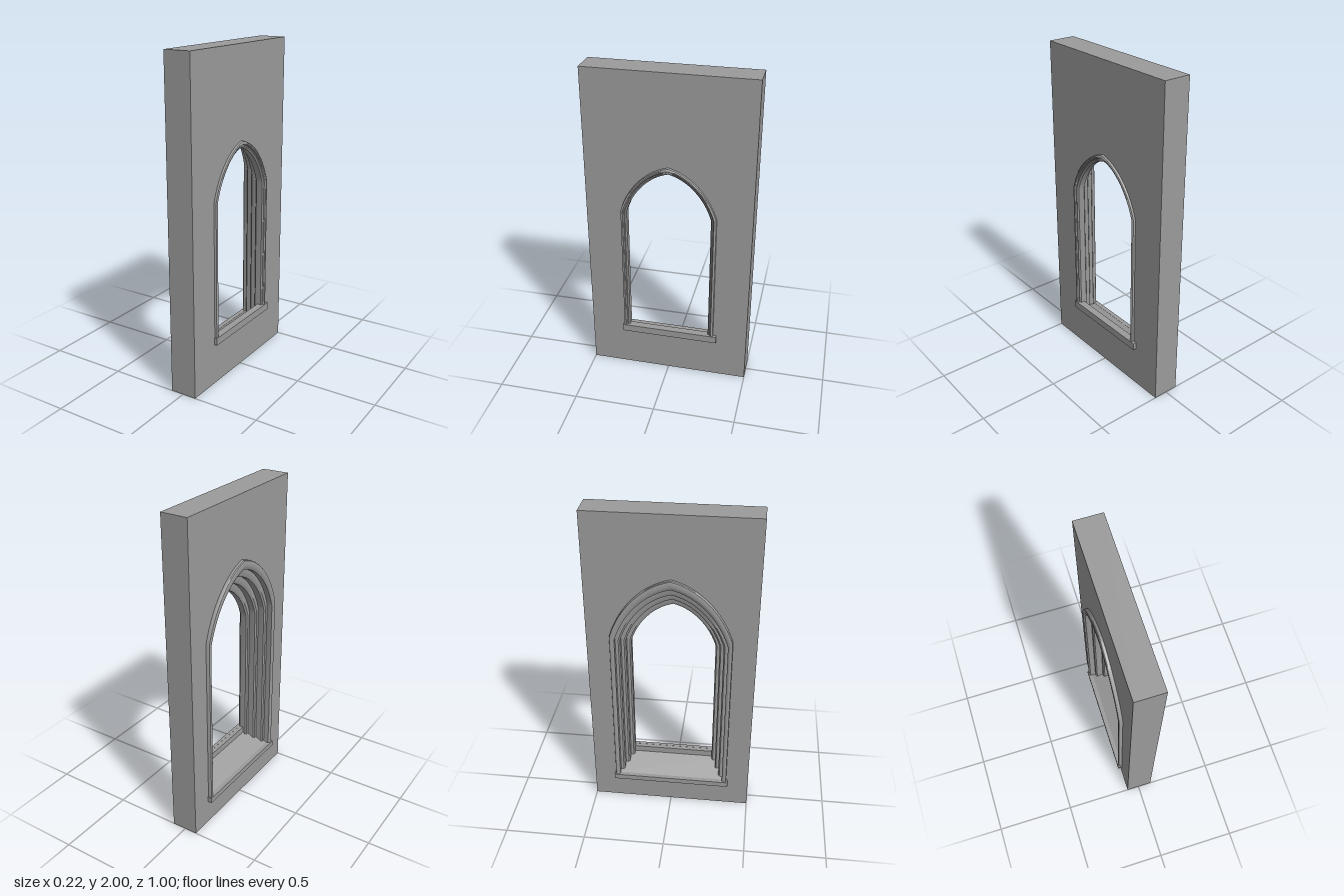
import * as THREE from 'three';
import { toCreasedNormals } from 'three/addons/utils/BufferGeometryUtils.js';

const BACK = -0.08, FRONT = 0.087;   // the two wall faces along x
const material = new THREE.MeshStandardMaterial({ color: 0x9b9b9b, side: THREE.DoubleSide });

function add(group, name, geometry) {
  const mesh = new THREE.Mesh(geometry, material);
  mesh.name = name;
  group.add(mesh);
}

// Pointed arch outline in (z, y), from the foot at +z over the apex to the foot at -z
function archPoints({ w, spring, apex, base }) {
  const rise = apex - spring;
  const curve = new THREE.CubicBezierCurve(
    new THREE.Vector2(w, spring),
    new THREE.Vector2(w * 0.83, spring + rise * 0.53),
    new THREE.Vector2(w * 0.43, spring + rise * 0.91),
    new THREE.Vector2(0, apex));
  const half = [new THREE.Vector2(w, base), ...curve.getPoints(16)];
  const mirrored = half.slice(0, -1).reverse().map(p => new THREE.Vector2(-p.x, p.y));
  return [...half, ...mirrored];
}

// Surface through a row of (z, y) outlines, each at its own x
function loft(sections) {
  const pos = [], index = [], n = sections[0].points.length;
  for (const { x, points } of sections) for (const p of points) pos.push(x, p.y, p.x);
  for (let i = 0; i < sections.length - 1; i++) {
    for (let j = 0; j < n - 1; j++) {
      const a = i * n + j, b = a + 1, c = a + n, d = c + 1;
      index.push(a, b, c, b, d, c);
    }
  }
  const geometry = new THREE.BufferGeometry();
  geometry.setAttribute('position', new THREE.Float32BufferAttribute(pos, 3));
  geometry.setIndex(index);
  return toCreasedNormals(geometry, 0.6);
}

// Section of the splayed opening at depth x and half width w
function opening(x, w, spring = 1.135 + (w - 0.255) * 1.0, apex = 1.405 + (w - 0.255) * 2.05) {
  return { x, points: archPoints({ w, spring, apex, base: 0.17 + 0.55 * (x + 0.1) }) };
}

export function createModel() {
  const group = new THREE.Group();

  // Stepped profile: wide trim, receding mouldings, narrow trim
  const sections = [
    opening(BACK, 0.36), opening(-0.096, 0.36), opening(-0.101, 0.358), opening(-0.103, 0.353),
    opening(-0.103, 0.344), opening(-0.1, 0.338), opening(-0.094, 0.332),
  ];
  [[-0.06, 0.332], [-0.012, 0.306], [0.036, 0.28]].forEach(([x, w]) => {
    sections.push(opening(x, w), opening(x, w - 0.018), opening(x + 0.008, w - 0.026));
  });
  sections.push(
    opening(0.084, 0.254), opening(0.092, 0.262, 1.137, 1.415),
    opening(0.092, 0.268, 1.138, 1.422), opening(0.1, 0.27, 1.139, 1.424),
    opening(0.104, 0.275, 1.14, 1.43), opening(0.104, 0.281, 1.141, 1.437),
    opening(0.1, 0.287, 1.142, 1.443), opening(FRONT, 0.289, 1.142, 1.446));
  add(group, 'archMouldings', loft(sections));

  // Wall faces, each pierced by its own arch
  const corners = [[-0.5, 0], [-0.5, 2], [0.5, 2], [0.5, 0], [-0.5, 0]]
    .map(([z, y]) => new THREE.Vector2(z, y));
  [[BACK, -1, sections[0]], [FRONT, 1, sections[sections.length - 1]]].forEach(([x, side, section]) => {
    const shape = new THREE.Shape(corners);
    shape.holes.push(new THREE.Path(section.points));
    const face = new THREE.ShapeGeometry(shape).rotateY(side * Math.PI / 2).translate(x, 0, 0);
    add(group, side > 0 ? 'wallNarrowFace' : 'wallWideFace', face);
  });

  // Outer edges of the wall
  add(group, 'wallEdges', loft([{ x: BACK, points: corners }, { x: FRONT, points: corners }]));

  // Sloping floor of the opening with an upstand at its narrow end
  const floor = new THREE.Shape([
    [BACK, 0.165], [BACK, 0.19], [0.06, 0.265], [0.06, 0.305], [FRONT, 0.305], [FRONT, 0.24],
  ].map(([x, y]) => new THREE.Vector2(x, y)));
  add(group, 'slopingFloor',
    new THREE.ExtrudeGeometry(floor, { depth: 0.7, bevelEnabled: false }).translate(0, 0, -0.35));

  // Projecting sills on both faces
  const sill = (name, x0, x1, y0, y1, z0, z1) => add(group, name,
    new THREE.BoxGeometry(x1 - x0, y1 - y0, z1 - z0)
      .translate((x0 + x1) / 2, (y0 + y1) / 2, (z0 + z1) / 2));
  sill('wideSill', -0.108, BACK, 0.157, 0.191, -0.368, 0.37);
  sill('narrowSill', FRONT, 0.107, 0.26, 0.306, -0.31, 0.295);

  return group;
}
